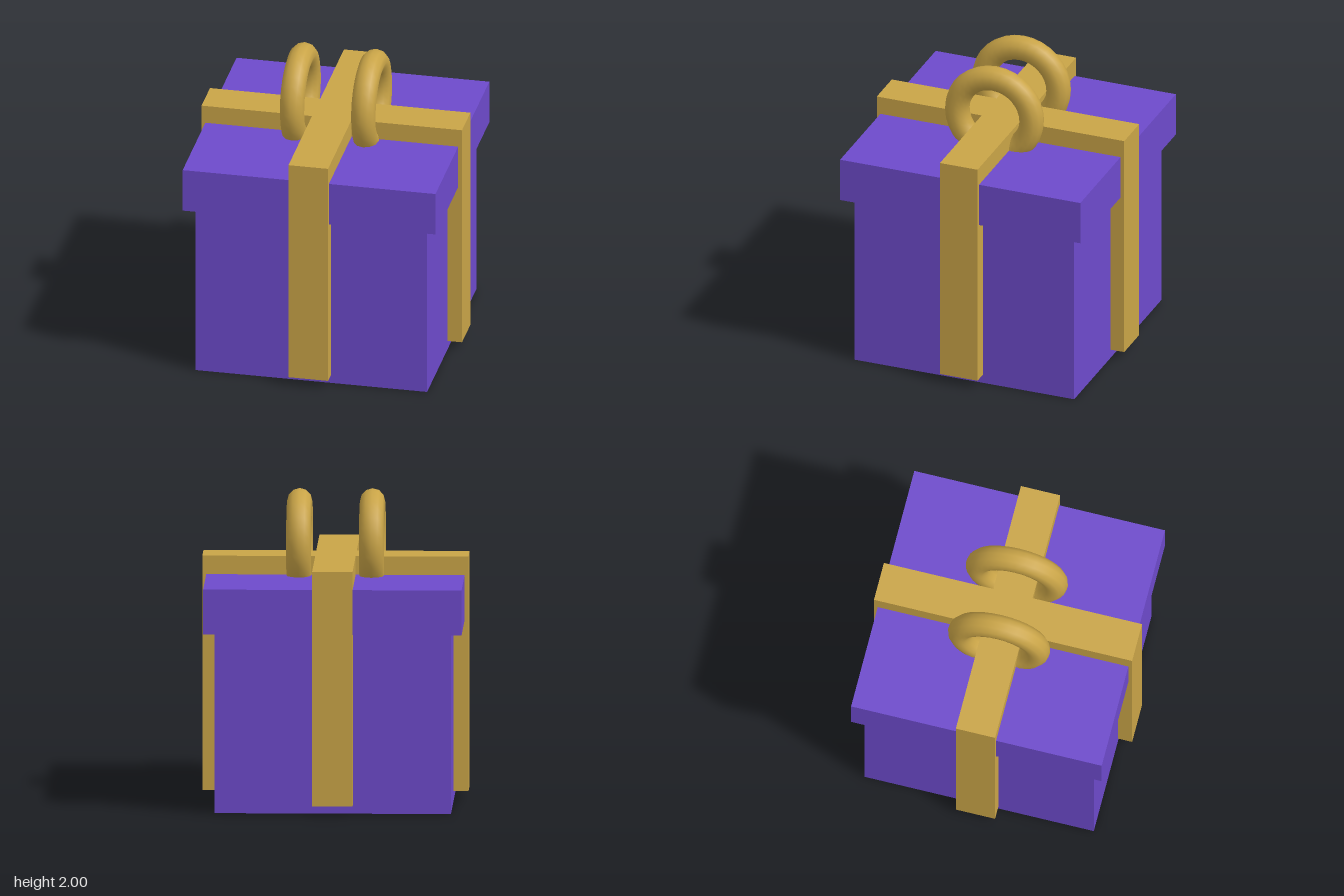
import * as THREE from 'three';

export function createModel() {
  const model = new THREE.Group();
  model.name = 'giftBox';

  const purple = new THREE.MeshStandardMaterial({ color: 0x6d4acb });
  purple.name = 'purple paper';
  const gold = new THREE.MeshStandardMaterial({ color: 0xc9a447 });
  gold.name = 'gold ribbon';

  const add = (name, geometry, material, x, y, z) => {
    const mesh = new THREE.Mesh(geometry, material);
    mesh.name = name;
    mesh.position.set(x, y, z);
    model.add(mesh);
    return mesh;
  };

  // Box body and overhanging lid
  add('boxBody', new THREE.BoxGeometry(1.52, 1.2, 1.52), purple, 0, 0.6, 0);
  add('lid', new THREE.BoxGeometry(1.66, 0.29, 1.66), purple, 0, 1.315, 0);

  // Ribbon: a cross-shaped prism wrapping the four sides and the top
  const r = 0.855, w = 0.13;
  const cross = new THREE.Shape([
    [w, w], [w, r], [-w, r], [-w, w], [-r, w], [-r, -w],
    [-w, -w], [-w, -r], [w, -r], [w, -w], [r, -w], [r, w],
  ].map(([x, y]) => new THREE.Vector2(x, y)));
  const ribbon = new THREE.ExtrudeGeometry(cross, { depth: 1.52, bevelEnabled: false });
  ribbon.rotateX(-Math.PI / 2);
  add('ribbon', ribbon, gold, 0, 0.06, 0);

  // Two upright bow loops, one each side of the crossing
  for (const [name, side] of [['leftBowLoop', 1], ['rightBowLoop', -1]]) {
    const loop = add(name, new THREE.TorusGeometry(0.257, 0.08, 12, 32), gold, side * 0.234, 1.663, 0);
    loop.rotation.y = Math.PI / 2;
  }

  return model;
}
